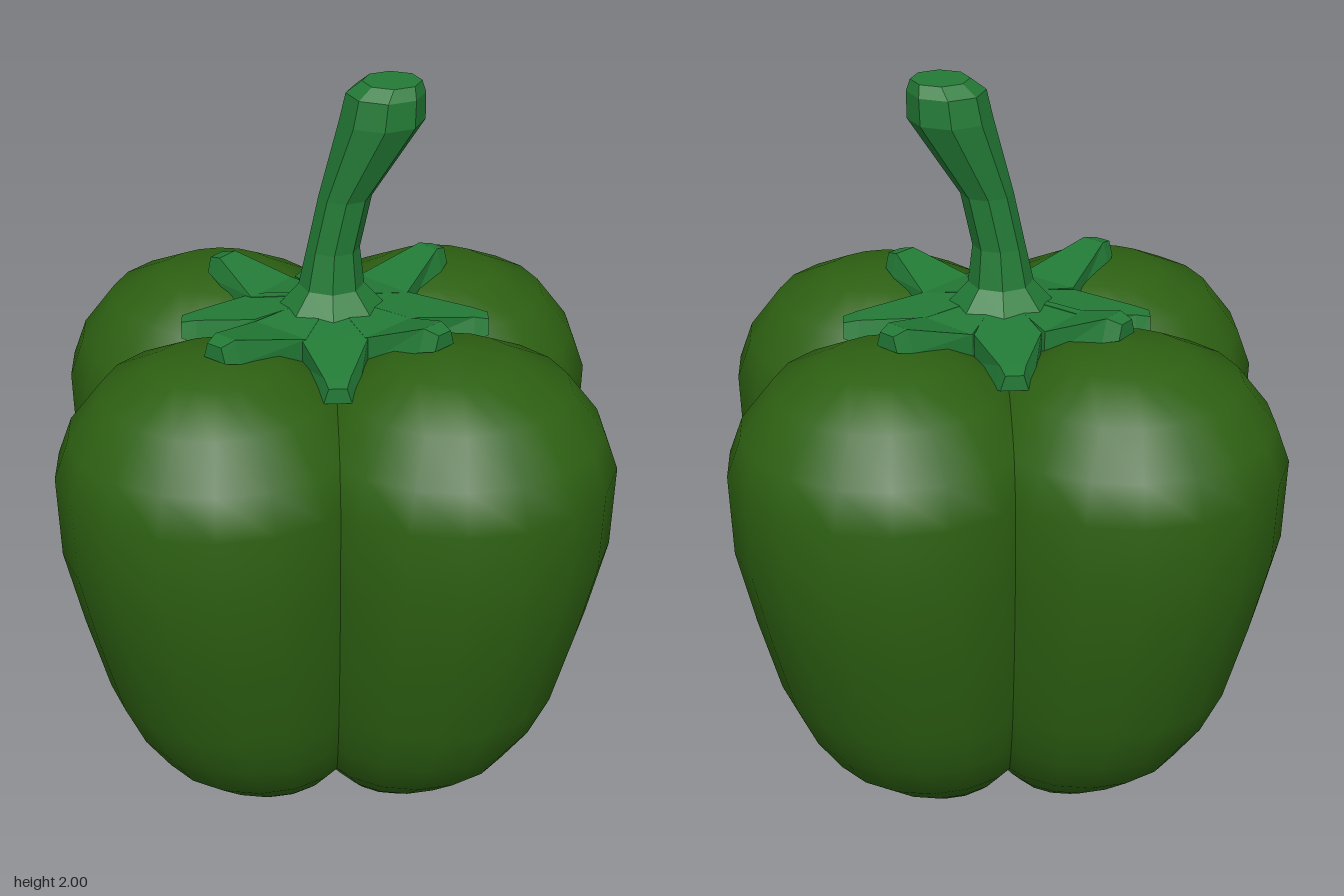
import * as THREE from 'three';
import { mergeVertices } from 'three/addons/utils/BufferGeometryUtils.js';

const skin = new THREE.MeshStandardMaterial({ color: 0x2d6012 });
const stalk = new THREE.MeshStandardMaterial({ color: 0x237a36, flatShading: true });

// Stack of round sections [y, radius, x, z]: a lathe whose rings are slid sideways
function slidLathe(sections, sides) {
  const g = new THREE.LatheGeometry(sections.map(([y, r]) => new THREE.Vector2(r, y)), sides);
  const pos = g.attributes.position;
  for (let i = 0; i < pos.count; i++) {
    const [, , x, z] = sections[i % sections.length];
    pos.setX(i, pos.getX(i) + x);
    pos.setZ(i, pos.getZ(i) + z);
  }
  g.deleteAttribute('normal');
  g.deleteAttribute('uv');
  const merged = mergeVertices(g, 1e-4);
  merged.computeVertexNormals();
  return merged;
}

function add(parent, name, geometry, material) {
  const mesh = new THREE.Mesh(geometry, material);
  mesh.name = name;
  parent.add(mesh);
  return mesh;
}

// Calyx leaf: a box tapered along z, from the hub to a blunt tip
function leafGeometry(length, tipY) {
  const stations = [ // distance, half width, top, bottom
    [0, 0.01, 1.43, 1.28],
    [0.2, 0.085, 1.395, 1.32],
    [length - 0.04, 0.05, tipY, tipY - 0.06],
    [length, 0.035, tipY - 0.01, tipY - 0.05],
  ];
  const g = new THREE.BoxGeometry(1, 1, 1, 1, 1, 3);
  const pos = g.attributes.position;
  for (let i = 0; i < pos.count; i++) {
    const [d, w, top, bottom] = stations[Math.round((pos.getZ(i) + 0.5) * 3)];
    const up = pos.getY(i) > 0;
    const narrow = up && d > 0.2 ? 0.65 : 1;
    pos.setXYZ(i, Math.sign(pos.getX(i)) * w * narrow, up ? top : bottom, d);
  }
  g.computeVertexNormals();
  return g;
}

export function createModel() {
  const model = new THREE.Group();
  model.name = 'bellPepper';

  // Four lobes, one per quadrant: [y, radius, offset from both axes]
  const lobe = [
    [0, 0, 0.17], [0.025, 0.08, 0.17], [0.065, 0.15, 0.17], [0.12, 0.205, 0.19],
    [0.2, 0.275, 0.21], [0.31, 0.32, 0.232], [0.44, 0.355, 0.25], [0.66, 0.39, 0.27],
    [0.88, 0.41, 0.295], [1.1, 0.412, 0.3], [1.2, 0.375, 0.3], [1.31, 0.29, 0.3],
    [1.375, 0.16, 0.295], [1.4, 0, 0.29],
  ];
  const body = new THREE.Group();
  body.name = 'body';
  model.add(body);
  for (const sx of [-1, 1]) {
    for (const sz of [-1, 1]) {
      const sections = lobe.map(([y, r, c]) => [y, r, c * sx, c * sz]);
      add(body, 'lobe', slidLathe(sections, 18), skin);
    }
  }
  // Core closing the gap between the lobes
  const core = add(body, 'core', new THREE.CylinderGeometry(0.13, 0.1, 1.14, 12), skin);
  core.position.y = 0.71;

  // Star-shaped calyx: tips [x, z, height]
  const calyx = new THREE.Group();
  calyx.name = 'calyx';
  model.add(calyx);
  const tips = [
    [-0.01, -0.38, 1.37], [0.3, -0.29, 1.45], [0.41, 0, 1.37], [0.27, 0.28, 1.45],
    [0, 0.4, 1.36], [-0.3, 0.33, 1.45], [-0.39, -0.01, 1.37], [-0.3, -0.25, 1.45],
  ];
  for (const [x, z, y] of tips) {
    const leaf = add(calyx, 'calyxLeaf', leafGeometry(Math.hypot(x, z), y), stalk);
    leaf.rotation.y = Math.atan2(x, z);
  }

  // Bent stem with a swollen, blunt end
  const stem = [
    [1.33, 0.17, 0, 0], [1.4, 0.14, 0, 0], [1.46, 0.085, 0, 0], [1.56, 0.068, 0.005, 0],
    [1.7, 0.068, 0.035, 0], [1.9, 0.108, 0.127, 0], [1.97, 0.1, 0.135, 0],
    [2, 0.075, 0.15, 0], [2, 0, 0.15, 0],
  ];
  add(model, 'stem', slidLathe(stem, 8), stalk);
  return model;
}
